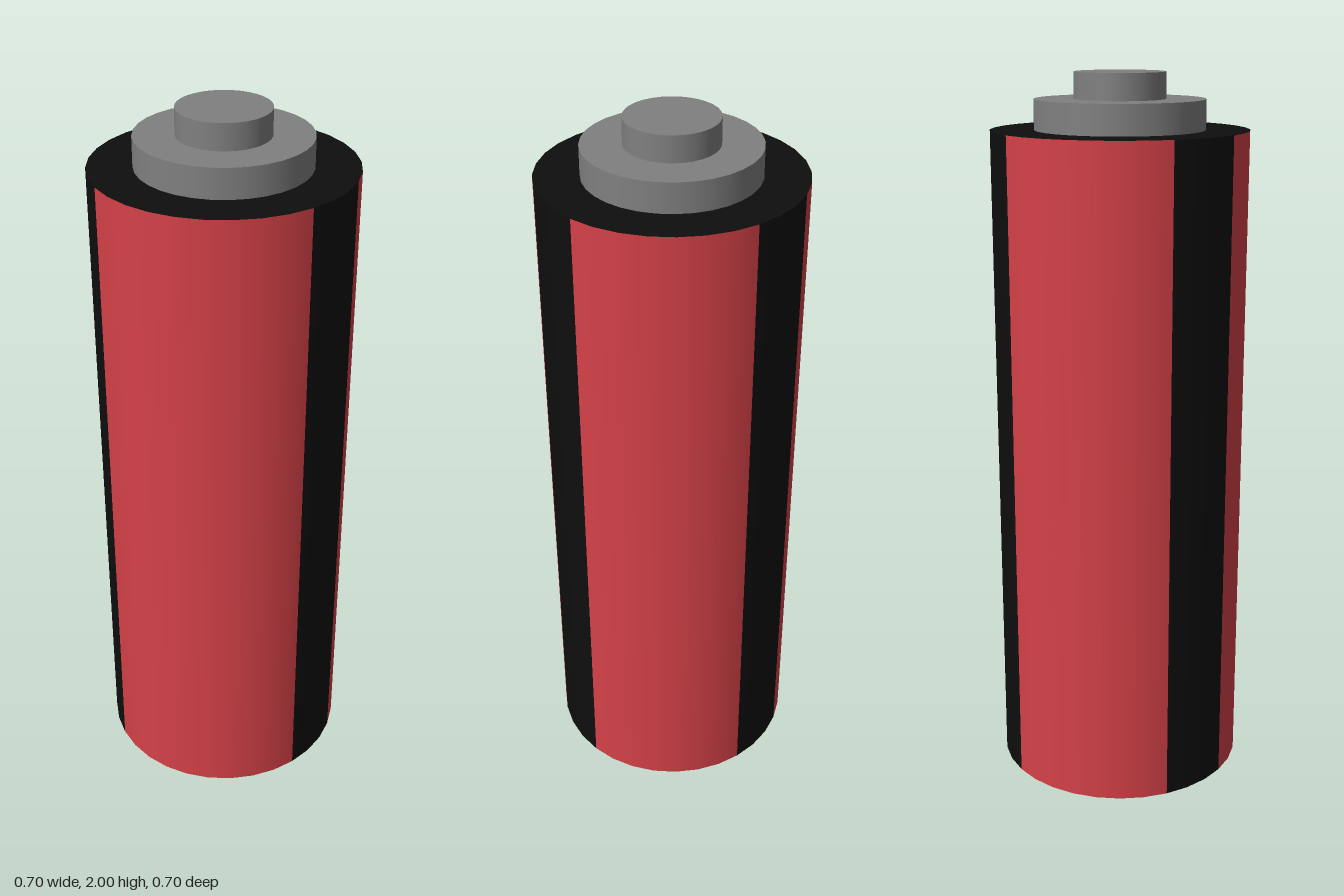
import * as THREE from 'three';

const SIDES = 32;
const STEP = (Math.PI * 2) / SIDES;
const RADIUS = 0.348;
const BOTTOM = 0.025;
const TOP = 1.85;

export function createModel() {
  const battery = new THREE.Group();
  battery.name = 'battery';

  const red = new THREE.MeshStandardMaterial({ color: 0xd44147 });
  const black = new THREE.MeshStandardMaterial({ color: 0x0e0e0e });
  const metal = new THREE.MeshStandardMaterial({ color: 0x808080 });

  const add = (name, geometry, material, y) => {
    const mesh = new THREE.Mesh(geometry, material);
    mesh.name = name;
    mesh.position.y = y;
    battery.add(mesh);
    return mesh;
  };

  // Strip of the wrapper, from one facet to another (counted from the front towards +x)
  const strip = (name, from, to, material) => add(
    name,
    new THREE.CylinderGeometry(RADIUS, RADIUS, TOP - BOTTOM, to - from, 1, true, from * STEP, (to - from) * STEP),
    material,
    (TOP + BOTTOM) / 2
  );

  // Three black stripes, each followed by a red panel up to the next stripe
  const stripes = [1, 11, 21];
  stripes.forEach((start, i) => {
    const next = i < 2 ? stripes[i + 1] : stripes[0] + SIDES;
    strip(`blackStripe${i + 1}`, start, start + 3, black);
    strip(`redPanel${i + 1}`, start + 3, next, red);
  });

  // Black end faces of the body
  const endFace = new THREE.CircleGeometry(RADIUS, SIDES);
  add('topFace', endFace, black, TOP).rotation.x = -Math.PI / 2;
  add('bottomFace', endFace, black, BOTTOM).rotation.x = Math.PI / 2;

  // Metal contacts
  const disc = (name, radius, y0, y1) =>
    add(name, new THREE.CylinderGeometry(radius, radius, y1 - y0, SIDES), metal, (y0 + y1) / 2);
  disc('bottomContact', 0.295, 0, BOTTOM);
  disc('topCollar', 0.23, TOP, 1.93);
  disc('topButton', 0.123, 1.93, 2);

  return battery;
}
